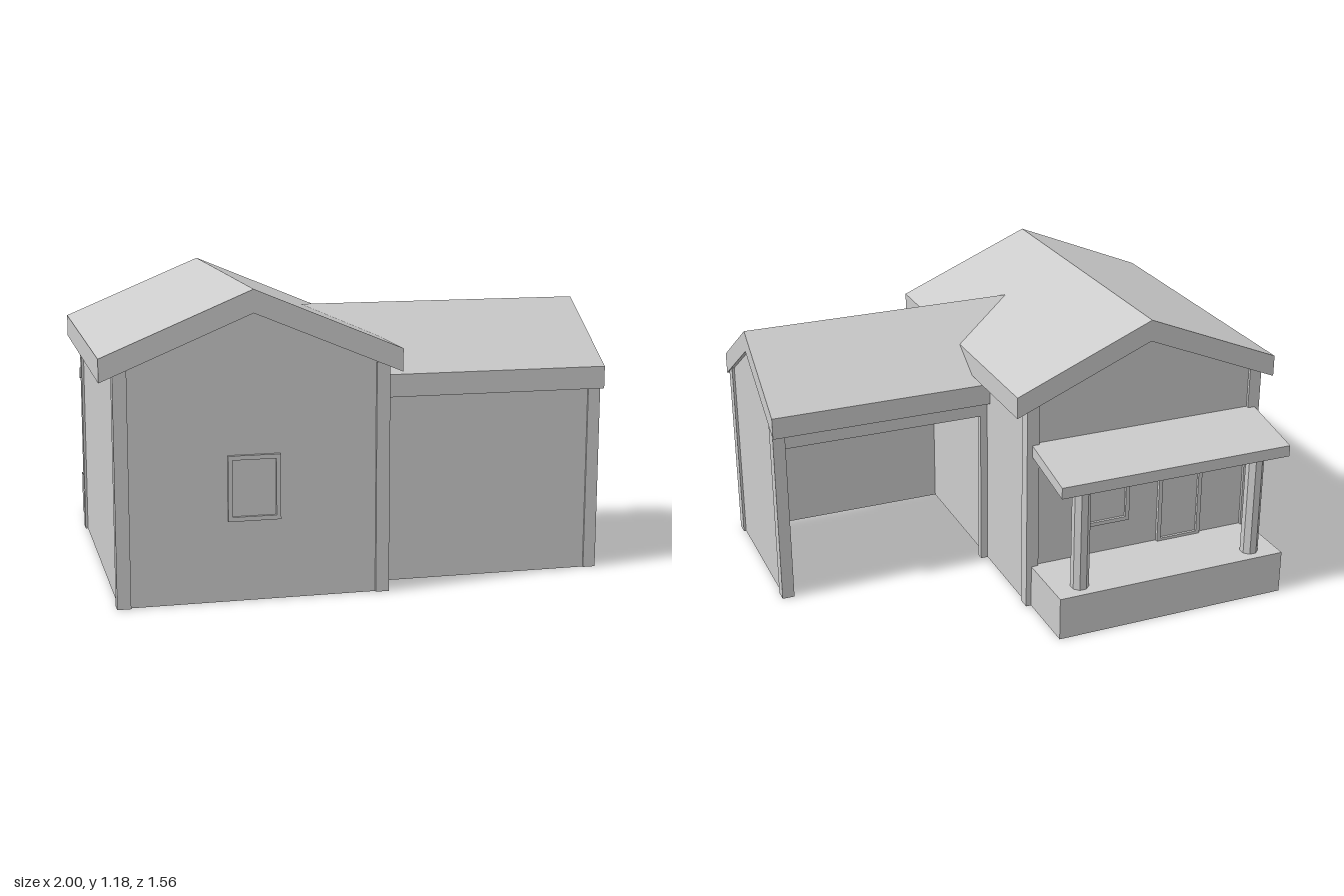
import * as THREE from 'three';

const material = new THREE.MeshStandardMaterial({ color: 0xcccccc, flatShading: true });

export function createModel() {
  const house = new THREE.Group();
  house.name = 'house';

  const add = (geometry, name, parent = house) => {
    const mesh = new THREE.Mesh(geometry, material);
    mesh.name = name;
    parent.add(mesh);
    return mesh;
  };

  // Box given by its extents on each axis
  const box = (name, [x0, x1], [y0, y1], [z0, z1], parent) => {
    const mesh = add(new THREE.BoxGeometry(x1 - x0, y1 - y0, z1 - z0), name, parent);
    mesh.position.set((x0 + x1) / 2, (y0 + y1) / 2, (z0 + z1) / 2);
    return mesh;
  };

  // Profile in x/y, extruded between two z values
  const prism = (points, z0, z1) => {
    const shape = new THREE.Shape(points.map(([x, y]) => new THREE.Vector2(x, y)));
    return new THREE.ExtrudeGeometry(shape, { depth: z1 - z0, bevelEnabled: false }).translate(0, 0, z0);
  };

  // Gabled solid and the folded roof that covers it
  const gable = (half, base, eave, ridge, z0, z1) =>
    prism([[-half, base], [half, base], [half, eave], [0, ridge], [-half, eave]], z0, z1);
  const roof = (half, eave, ridge, t, z0, z1) =>
    prism([[-half, eave - t], [0, ridge - t], [half, eave - t], [half, eave], [0, ridge], [-half, eave]], z0, z1);

  // Main block
  add(gable(0.51, 0, 0.88, 1.095, -0.485, 0.758), 'mainWalls').position.x = -0.43;
  add(roof(0.57, 0.94, 1.177, 0.088, -0.51, 0.777), 'mainRoof').position.x = -0.43;
  for (const x of [-0.95, 0.04])
    for (const z of [-0.497, 0.717])
      box('mainCornerPost', [x, x + 0.052], [0, 0.89], [z, z + 0.052]);

  // Side wing: enclosed gable on top, open below towards the back
  add(gable(0.34, 0.67, 0.76, 0.98, 0.07, 0.985).rotateY(Math.PI / 2), 'wingGable').position.z = 0.29;
  add(roof(0.374, 0.823, 1.058, 0.088, -0.14, 1).rotateY(Math.PI / 2), 'wingRoof').position.z = 0.29;
  box('wingFrontWall', [0.07, 0.985], [0, 0.67], [0.6, 0.63]);
  box('wingEndWall', [0.955, 0.985], [0, 0.67], [-0.05, 0.6]);
  box('wingInnerJamb', [0.07, 0.11], [0, 0.67], [-0.05, -0.02]);
  for (const z of [-0.057, 0.585])
    box('wingCornerPost', [0.945, 0.995], [0, 0.785], [z, z + 0.052]);

  // Porch
  box('porchBase', [-0.93, 0.07], [0, 0.18], [-0.78, -0.48]);
  const porchRoof = prism(
    [[0.48, 0.675], [0.78, 0.618], [0.78, 0.665], [0.48, 0.724]], -0.93, 0.07);
  add(porchRoof.rotateY(Math.PI / 2), 'porchRoof');
  for (const x of [-0.815, -0.045])
    add(new THREE.CylinderGeometry(0.037, 0.037, 0.47, 8).rotateY(Math.PI / 8), 'porchColumn')
      .position.set(x, 0.41, -0.71);

  // Framed opening: raised border around a recessed panel, facing +z
  const opening = (name, w, h, x, y, z, back) => {
    const group = new THREE.Group();
    group.name = name;
    const b = 0.017;
    const rect = (p, a, c) => p.moveTo(-a, -c).lineTo(a, -c).lineTo(a, c).lineTo(-a, c).closePath();
    const border = rect(new THREE.Shape(), w / 2, h / 2);
    border.holes.push(rect(new THREE.Path(), w / 2 - b, h / 2 - b));
    add(new THREE.ExtrudeGeometry(border, { depth: 0.014, bevelEnabled: false }), 'frame', group);
    box('panel', [b - w / 2, w / 2 - b], [b - h / 2, h / 2 - b], [-0.004, 0.003], group);
    group.position.set(x, y, z);
    if (back) group.rotation.y = Math.PI;
    house.add(group);
  };
  opening('frontWindow', 0.2, 0.25, -0.43, 0.435, 0.758, false);
  opening('backWindow', 0.2, 0.27, -0.265, 0.445, -0.485, true);
  opening('backDoor', 0.2, 0.41, -0.6, 0.38, -0.485, true);

  return house;
}
